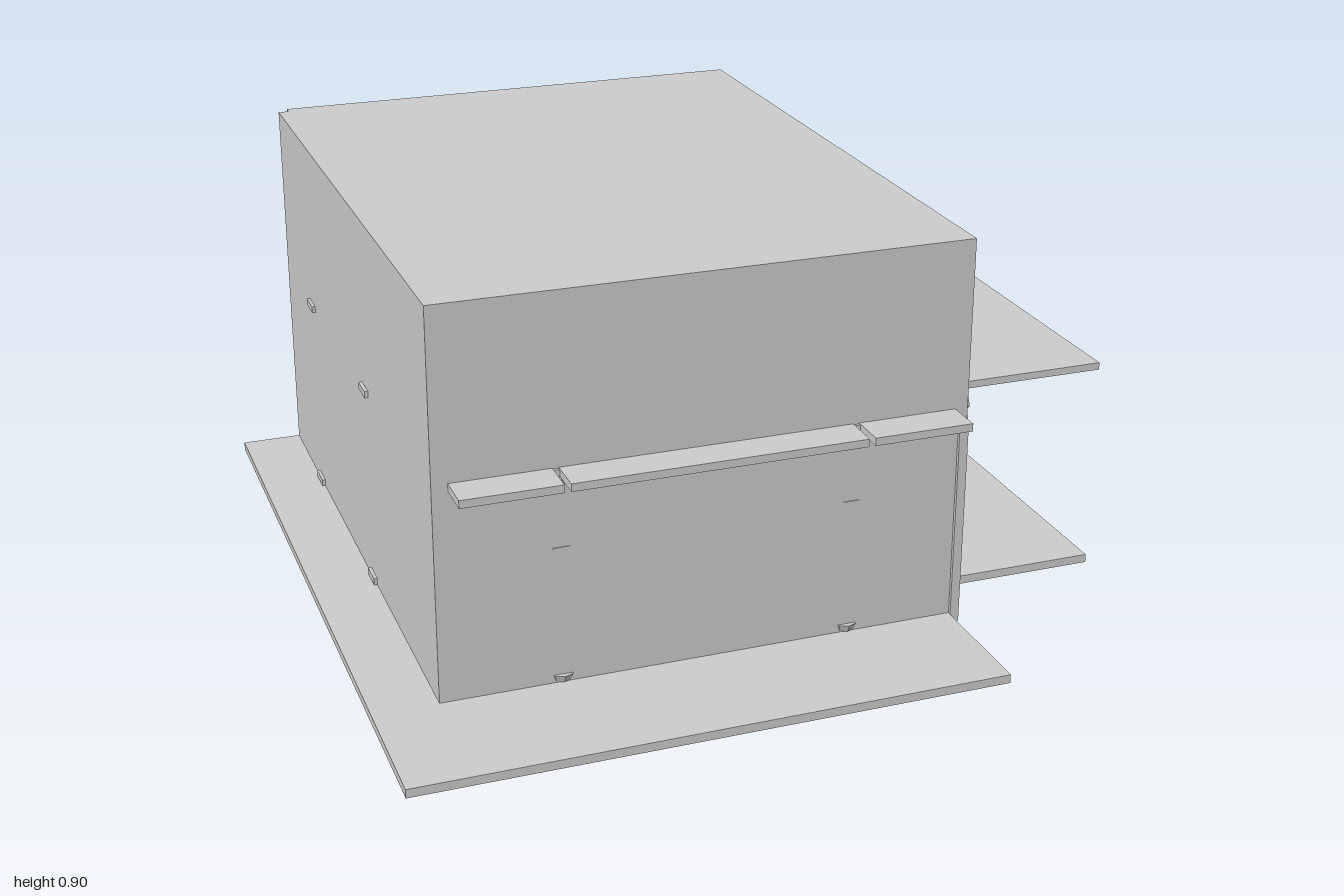
import * as THREE from 'three';

const mat = new THREE.MeshStandardMaterial({ color: 0xcccccc, flatShading: true, side: THREE.DoubleSide });

function add(parent, name, geo) {
  const mesh = new THREE.Mesh(geo, mat);
  mesh.name = name;
  parent.add(mesh);
  return mesh;
}

// Box given by its limits on each axis
function block(parent, name, x0, x1, y0, y1, z0, z1) {
  const m = add(parent, name, new THREE.BoxGeometry(x1 - x0, y1 - y0, z1 - z0));
  m.position.set((x0 + x1) / 2, (y0 + y1) / 2, (z0 + z1) / 2);
  return m;
}

// Pointed arch curve: each half is centred on the opposite springing point
function archPoints(cx, w, spring, n = 8) {
  const right = [];
  for (let i = 0; i <= n; i++) {
    const a = (i / n) * Math.PI / 3;
    right.push(new THREE.Vector2(cx - w / 2 + w * Math.cos(a), spring + w * Math.sin(a)));
  }
  const left = right.slice(0, -1).reverse().map(p => new THREE.Vector2(2 * cx - p.x, p.y));
  return right.concat(left);
}

function archRib(parent, name, cx, w, spring, r) {
  const pts = archPoints(cx, w, spring).map(p => new THREE.Vector3(p.x, p.y, -0.008));
  add(parent, name, new THREE.TubeGeometry(new THREE.CatmullRomCurve3(pts), 20, r, 5));
}

// One chapel wall from a to b (x, z), outward on local +z, with a traceried window
function windowWall(parent, a, b, ww, transom) {
  const wall = new THREE.Group();
  wall.name = 'chapelWall';
  const dx = b[0] - a[0], dz = b[1] - a[1], len = Math.hypot(dx, dz), c = len / 2;
  wall.position.set(a[0], 0, a[1]);
  wall.rotation.y = Math.atan2(-dz, dx);
  const spring = 0.45 - ww * Math.sqrt(3) / 2, sill = 0.085;

  const shape = new THREE.Shape();
  shape.moveTo(0, 0.07).lineTo(len, 0.07).lineTo(len, 0.495).lineTo(0, 0.495).closePath();
  shape.holes.push(new THREE.Path([
    new THREE.Vector2(c - ww / 2, sill), new THREE.Vector2(c + ww / 2, sill), ...archPoints(c, ww, spring)
  ]));
  const geo = new THREE.ExtrudeGeometry(shape, { depth: 0.016, bevelEnabled: false });
  geo.translate(0, 0, -0.016);
  add(wall, 'wallPanel', geo);

  // Frame, two mullions, three small lancets and a ring in the arch head
  archRib(wall, 'windowArch', c, ww, spring, 0.004);
  const lw = ww / 3;
  for (const s of [-1, 1])
    block(wall, 'mullion', c + s * lw / 2 - 0.002, c + s * lw / 2 + 0.002, sill, spring + 0.01, -0.011, -0.005);
  for (const s of [-1, 0, 1]) archRib(wall, 'lancet', c + s * lw, lw, spring + (s ? -0.01 : 0.01), 0.002);
  for (const [x, y] of [[-ww * 0.22, 0.035], [ww * 0.22, 0.035], [0, 0.066]]) {
    const ring = add(wall, 'traceryRing', new THREE.TorusGeometry(0.012, 0.002, 5, 14));
    ring.position.set(c + x, spring + y, -0.008);
  }
  // Blind round-headed arch on the lower half of side windows
  if (transom) {
    block(wall, 'transom', c - ww / 2, c + ww / 2, 0.246, 0.252, -0.012, -0.004);
    const arc = add(wall, 'roundArch', new THREE.TorusGeometry(ww * 0.42, 0.003, 5, 16, Math.PI));
    arc.position.set(c, 0.246, -0.008);
  }
  parent.add(wall);
}

// Corner shaft with console, small figure and canopy
function cornerShaft(parent, x, z) {
  const shaft = new THREE.Group();
  shaft.name = 'cornerShaft';
  const profile = [[0, 0.065], [0.014, 0.065], [0.014, 0.085], [0.008, 0.095], [0.008, 0.235],
    [0.015, 0.25], [0.009, 0.255], [0.012, 0.285], [0.008, 0.31], [0.015, 0.32], [0.012, 0.335],
    [0.008, 0.35], [0.008, 0.495], [0, 0.495]].map(p => new THREE.Vector2(...p));
  add(shaft, 'shaft', new THREE.LatheGeometry(profile, 8));
  shaft.position.set(x, 0, z);
  parent.add(shaft);
}

export function createModel() {
  const model = new THREE.Group();
  model.name = 'church';

  // Ground slabs
  block(model, 'mainGroundSlab', -0.88, 0.44, 0, 0.02, -0.763, 1);
  block(model, 'sideGroundSlab', 0.44, 0.875, 0, 0.02, -0.763, 0.555);

  // Main hall
  block(model, 'mainHall', -0.71, 0.46, 0.02, 0.903, -0.785, 0.705);
  block(model, 'rightWall', -0.735, -0.71, 0.02, 0.903, -0.763, 0.705);
  block(model, 'lowerLeftWall', 0.44, 0.461, 0, 0.463, -0.763, 0.713);

  // Polygonal apse at the back
  const plan = new THREE.Shape();
  plan.moveTo(-0.52, 0.785).lineTo(0.255, 0.785).lineTo(0.04, 1).lineTo(-0.305, 1).closePath();
  const apseGeo = new THREE.ExtrudeGeometry(plan, { depth: 0.442, bevelEnabled: false });
  apseGeo.rotateX(-Math.PI / 2);
  add(model, 'apse', apseGeo).position.y = 0.02;
  for (const x of [-0.465, 0.19])
    block(model, 'backPilaster', x - 0.027, x + 0.027, 0.44, 0.713, -0.8, -0.78);

  // Front ledge in three lengths, with the pier ends between them
  for (const [x0, x1] of [[-0.7, -0.481], [-0.467, 0.189], [0.203, 0.43]])
    block(model, 'frontLedge', x0, x1, 0.5, 0.518, 0.7, 0.79);
  const pierEnd = new THREE.CylinderGeometry(0.028, 0.022, 0.016, 8);
  for (const x of [-0.464, 0.19]) {
    block(model, 'ledgeStrip', x - 0.022, x + 0.022, 0.5, 0.516, 0.7, 0.712);
    for (const y of [0.488, 0.03]) add(model, 'pierEnd', pierEnd).position.set(x, y, 0.69);
    block(model, 'pierBand', x - 0.018, x + 0.018, 0.333, 0.337, 0.7, 0.707);
  }
  for (const z of [-0.455, 0.115]) {
    for (const y of [0.495, 0.03])
      block(model, 'sidePierEnd', -0.743, -0.73, y - 0.008, y + 0.008, z - 0.03, z + 0.03);
  }

  // Panelled gate leaf behind the hall
  const gate = new THREE.Group();
  gate.name = 'gate';
  block(gate, 'gatePanel', 0.432, 0.438, 0.035, 0.145, -0.965, -0.78);
  for (const y of [0.035, 0.137]) block(gate, 'gateRail', 0.428, 0.442, y, y + 0.013, -0.968, -0.78);
  for (const z of [-0.968, -0.878, -0.792])
    block(gate, 'gateStile', 0.428, 0.442, 0.035, 0.15, z, z + 0.012);
  model.add(gate);

  // Side chapel
  const chapel = new THREE.Group();
  chapel.name = 'sideChapel';
  block(chapel, 'chapelRoof', 0.46, 0.87, 0.493, 0.51, -0.763, 0.558);
  const corners = [[0.48, 0.275], [0.68, 0.275], [0.68, 0.07], [0.82, -0.055],
    [0.82, -0.275], [0.68, -0.4], [0.68, -0.605], [0.48, -0.605]];
  const widths = [0.115, 0.115, 0.13, 0.11, 0.13, 0.115, 0.115];
  widths.forEach((w, i) => windowWall(chapel, corners[i], corners[i + 1], w, i === 1 || i === 5));
  corners.forEach(([x, z]) => cornerShaft(chapel, x, z));

  // Raised floor and the steps along the hall
  const floorShape = new THREE.Shape(corners.map(([x, z]) => new THREE.Vector2(x, -z)));
  const floorGeo = new THREE.ExtrudeGeometry(floorShape, { depth: 0.01, bevelEnabled: false });
  floorGeo.rotateX(-Math.PI / 2);
  add(chapel, 'chapelFloor', floorGeo).position.y = 0.066;
  [[0.475, 0.02], [0.49, 0.045], [0.515, 0.062]].forEach(([x, y]) =>
    block(chapel, 'step', 0.46, x, y, 0.077, -0.625, 0.3));

  // Altar with a small cross
  block(chapel, 'altar', 0.71, 0.76, 0.076, 0.15, -0.21, -0.115);
  block(chapel, 'altarTop', 0.705, 0.765, 0.15, 0.158, -0.22, -0.105);
  block(chapel, 'crossPost', 0.733, 0.738, 0.158, 0.22, -0.165, -0.16);
  block(chapel, 'crossArm', 0.733, 0.738, 0.198, 0.203, -0.18, -0.145);
  model.add(chapel);

  return model;
}
